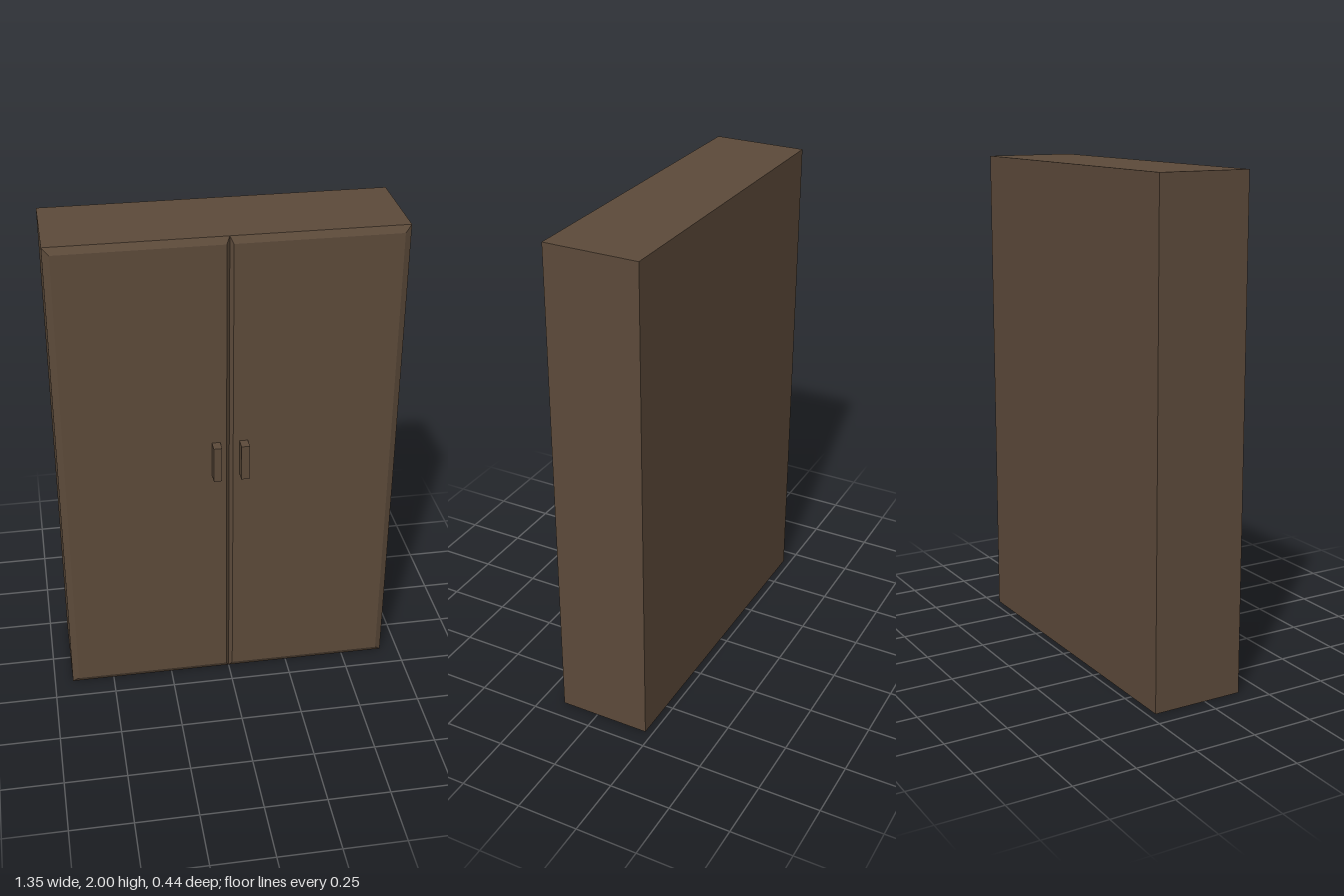
import * as THREE from 'three';

export function createModel() {
  const group = new THREE.Group();
  const wood = new THREE.MeshStandardMaterial({ color: 0x5c4a3a });
  wood.name = 'dark brown wood';

  const W = 0.675, H = 2, BACK = -0.22, SEAM = 0.157, FRONT = 0.173;

  function addBox(name, w, h, d, x, y, z) {
    const mesh = new THREE.Mesh(new THREE.BoxGeometry(w, h, d), wood);
    mesh.name = name;
    mesh.position.set(x, y, z);
    group.add(mesh);
    return mesh;
  }

  // Carcass
  addBox('cabinetBody', 2 * W, H, SEAM - BACK, 0, H / 2, (SEAM + BACK) / 2);

  for (const side of [-1, 1]) {
    const label = side > 0 ? 'left' : 'right';

    // Door panel: front face drawn in to bevel its four edges
    const door = addBox(label + 'Door', W, H, FRONT - SEAM, side * W / 2, H / 2, (FRONT + SEAM) / 2);
    const pos = door.geometry.attributes.position;
    for (let i = 0; i < pos.count; i++) {
      if (pos.getZ(i) < 0) continue;
      const outer = pos.getX(i) * side > 0;
      pos.setX(i, pos.getX(i) - Math.sign(pos.getX(i)) * (outer ? 0.026 : 0.013));
      pos.setY(i, pos.getY(i) - Math.sign(pos.getY(i)) * 0.026);
    }
    door.geometry.computeVertexNormals();

    // Handle block
    addBox(label + 'Handle', 0.033, 0.15, 0.22 - FRONT, side * 0.0545, 1.07, (0.22 + FRONT) / 2);
  }
  return group;
}
